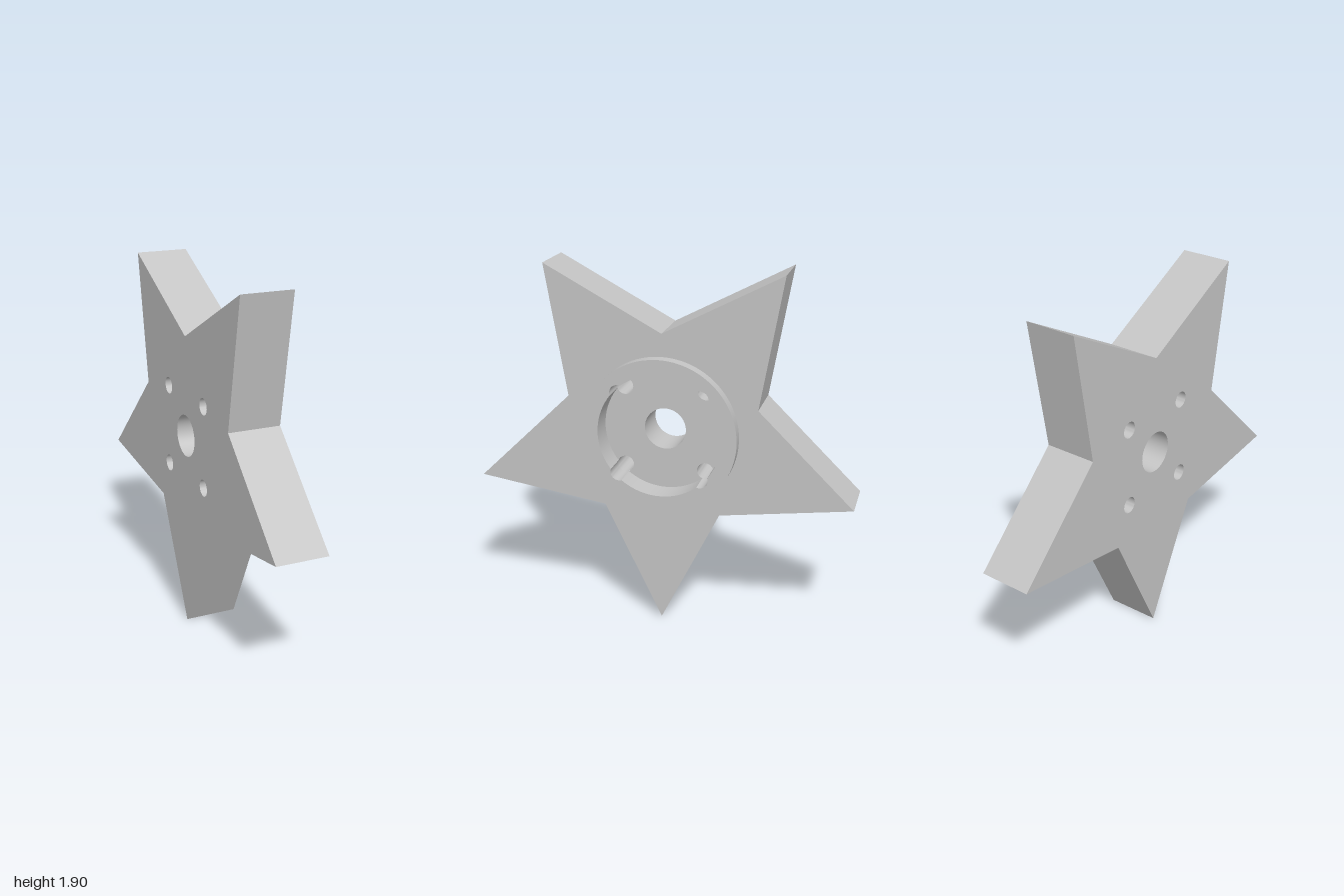
import * as THREE from 'three';
import { toCreasedNormals } from 'three/addons/utils/BufferGeometryUtils.js';

// Dimensions: the star lies in the zy plane and its thickness runs along x
const CENTER_Y = 1.0515, TIP_R = 1.0515, NOTCH_R = 0.525;
const BACK = -0.17, FLOOR = 0.035, FRONT = 0.11, RIM = 0.17;
const RING_R = 0.405, RECESS_R = 0.325, BORE_R = 0.11, BOLT_R = 0.044, BOLT_POS = 0.215;

// Points on an arc, running anticlockwise
function arc(cx, cy, r, a0, a1, n) {
  return Array.from({ length: n + 1 }, (_, i) => {
    const a = a0 + (a1 - a0) * i / n;
    return new THREE.Vector2(cx + r * Math.cos(a), cy + r * Math.sin(a));
  });
}
const circle = (cx, cy, r, n) => arc(cx, cy, r, 0, Math.PI * 2, n).slice(0, n);

// Five-pointed star with one tip pointing down
function starOutline() {
  return Array.from({ length: 10 }, (_, i) => {
    const a = -Math.PI / 2 + i * Math.PI / 5, r = i % 2 ? NOTCH_R : TIP_R;
    return new THREE.Vector2(r * Math.cos(a), r * Math.sin(a));
  });
}

// Round recess with four bolt grooves biting into its wall
function recessOutline() {
  const d = BOLT_POS * Math.SQRT2;
  const along = (d * d + RECESS_R ** 2 - BOLT_R ** 2) / (2 * d);
  const half = Math.sqrt(RECESS_R ** 2 - along ** 2);
  const wide = Math.atan2(half, along), groove = Math.atan2(half, along - d);
  const points = [];
  for (let i = 0; i < 4; i++) {
    const a = Math.PI / 4 + i * Math.PI / 2;
    points.push(...arc(d * Math.cos(a), d * Math.sin(a), BOLT_R, a - groove, a + groove, 12));
    points.push(...arc(0, 0, RECESS_R, a + wide, a + Math.PI / 2 - wide, 20).slice(1, -1));
  }
  return points;
}

// Flat face at a given x, facing +x (dir 1) or -x (dir -1)
function face(outline, holes, x, dir = 1) {
  const shape = new THREE.Shape(outline);
  shape.holes = holes.map((h) => new THREE.Path(h));
  return new THREE.ShapeGeometry(shape).rotateY(dir * Math.PI / 2).translate(x, CENTER_Y, 0);
}

// Wall following a closed outline from x0 to x1
function wall(outline, x0, x1, inward = false) {
  const pts = inward ? [...outline].reverse() : outline;
  const pos = [];
  pts.forEach((a, i) => {
    const b = pts[(i + 1) % pts.length];
    for (const [p, x] of [[a, x0], [b, x0], [b, x1], [a, x0], [b, x1], [a, x1]]) {
      pos.push(x, p.y + CENTER_Y, -p.x);
    }
  });
  const g = new THREE.BufferGeometry();
  g.setAttribute('position', new THREE.Float32BufferAttribute(pos, 3));
  return toCreasedNormals(g, 0.5);
}

export function createModel() {
  const group = new THREE.Group();
  const grey = new THREE.MeshStandardMaterial({ color: 0xc4c4c4 });
  grey.name = 'grey';
  const add = (name, geometry) => {
    const mesh = new THREE.Mesh(geometry, grey);
    mesh.name = name;
    group.add(mesh);
  };

  const star = starOutline(), recess = recessOutline();
  const ring = circle(0, 0, RING_R, 96), bore = circle(0, 0, BORE_R, 48);
  const bolts = [[1, 1], [-1, 1], [-1, -1], [1, -1]]
    .map(([u, v]) => circle(u * BOLT_POS, v * BOLT_POS, BOLT_R, 32));

  // Star body
  add('starSides', wall(star, BACK, FRONT));
  add('starBack', face(star, [bore, ...bolts], BACK, -1));
  add('starFront', face(star, [ring], FRONT));

  // Raised collar and the recess inside it
  add('collarSide', wall(ring, FRONT, RIM));
  add('collarRim', face(ring, [recess], RIM));
  add('recessWall', wall(recess, FLOOR, RIM, true));

  // The floor takes the recess outline; bolt holes meet its edge, so their arcs are cut out of it
  const d = BOLT_POS * Math.SQRT2;
  const along = (d * d + RECESS_R ** 2 - BOLT_R ** 2) / (2 * d);
  const half = Math.sqrt(RECESS_R ** 2 - along ** 2);
  const wide = Math.atan2(half, along), groove = Math.atan2(half, along - d);
  const floor = [];
  for (let i = 0; i < 4; i++) {
    const a = Math.PI / 4 + i * Math.PI / 2;
    const bite = arc(d * Math.cos(a), d * Math.sin(a), BOLT_R, a + groove, a + 2 * Math.PI - groove, 24);
    floor.push(...bite.reverse());
    floor.push(...arc(0, 0, RECESS_R, a + wide, a + Math.PI / 2 - wide, 20).slice(1, -1));
  }
  add('recessFloor', face(floor, [bore], FLOOR));

  // Through holes
  add('axleBore', wall(bore, BACK, FLOOR, true));
  bolts.forEach((b, i) => add(`boltHole${i + 1}`, wall(b, BACK, FLOOR, true)));
  return group;
}
